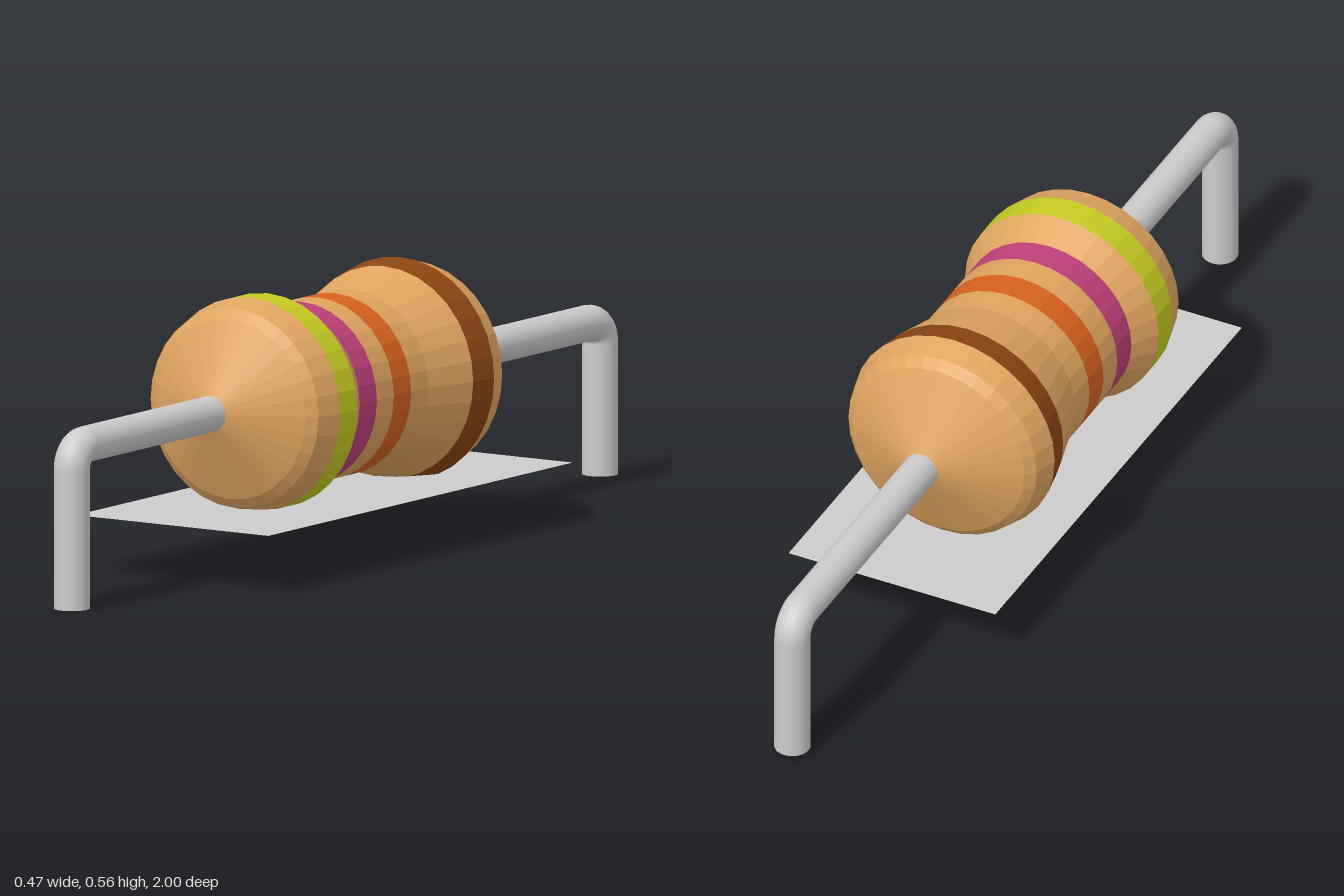
import * as THREE from 'three';

const CX = -0.008, AXIS_Y = 0.331, WIRE_R = 0.037, BEND_R = 0.045, LEG_Z = 0.963;

const grey = () => new THREE.MeshStandardMaterial({ color: 0xcccccc });

function addMesh(parent, name, geometry, material) {
  const mesh = new THREE.Mesh(geometry, material);
  mesh.name = name;
  parent.add(mesh);
  return mesh;
}

// One stretch of the turned body: [z, radius] pairs from back to front
function bodySection(parent, name, profile, color) {
  const points = profile.map(([z, r]) => new THREE.Vector2(r, z));
  const material = new THREE.MeshStandardMaterial({ color, flatShading: true });
  const mesh = addMesh(parent, name, new THREE.LatheGeometry(points, 32), material);
  mesh.rotation.x = Math.PI / 2;
}

// Bent wire: horizontal run, quarter bend, vertical leg; built along +z
function lead(name, innerZ, footY) {
  const group = new THREE.Group();
  group.name = name;
  const bendZ = LEG_Z - BEND_R, bendY = AXIS_Y - BEND_R;

  const run = addMesh(group, name + 'Run',
    new THREE.CylinderGeometry(WIRE_R, WIRE_R, bendZ - innerZ, 24, 1, true), grey());
  run.rotation.x = Math.PI / 2;
  run.position.set(0, AXIS_Y, (bendZ + innerZ) / 2);

  const bend = addMesh(group, name + 'Bend',
    new THREE.TorusGeometry(BEND_R, WIRE_R, 24, 10, Math.PI / 2), grey());
  bend.rotation.y = -Math.PI / 2;
  bend.position.set(0, bendY, bendZ);

  const leg = addMesh(group, name + 'Leg',
    new THREE.CylinderGeometry(WIRE_R, WIRE_R, bendY - footY, 24), grey());
  leg.position.set(0, (bendY + footY) / 2, LEG_Z);
  return group;
}

export function createModel() {
  const model = new THREE.Group();
  model.name = 'resistor';

  // Turned body with its coloured bands
  const body = new THREE.Group();
  body.name = 'body';
  body.position.set(CX, AXIS_Y, 0);
  model.add(body);
  const TAN = 0xe0a560;
  bodySection(body, 'backCap',
    [[-0.385, 0.03], [-0.305, 0.195], [-0.287, 0.214], [-0.235, 0.229]], TAN);
  bodySection(body, 'brownBand', [[-0.235, 0.229], [-0.175, 0.218]], 0x8b4513);
  bodySection(body, 'waistBack',
    [[-0.175, 0.218], [-0.115, 0.202], [-0.058, 0.187], [0.005, 0.187]], TAN);
  bodySection(body, 'orangeBand', [[0.005, 0.187], [0.068, 0.187]], 0xd9621e);
  bodySection(body, 'waistMiddle', [[0.068, 0.187], [0.13, 0.187]], TAN);
  bodySection(body, 'magentaBand', [[0.13, 0.187], [0.193, 0.187]], 0xc0407a);
  bodySection(body, 'waistFront', [[0.193, 0.187], [0.25, 0.22]], TAN);
  bodySection(body, 'yellowBand', [[0.25, 0.22], [0.314, 0.22]], 0xc5cc22);
  bodySection(body, 'frontCap',
    [[0.314, 0.22], [0.37, 0.205], [0.387, 0.185], [0.462, 0.03]], TAN);

  // Wire leads; the back one ends slightly higher
  const frontLead = lead('frontLead', 0.4, 0);
  frontLead.position.x = CX;
  const backLead = lead('backLead', 0.33, 0.015);
  backLead.position.x = CX;
  backLead.rotation.y = Math.PI;
  model.add(frontLead, backLead);

  // Thin sheet just grazing the underside of the body
  const sheetMaterial = grey();
  sheetMaterial.side = THREE.DoubleSide;
  const sheet = addMesh(model, 'baseSheet', new THREE.PlaneGeometry(0.47, 1.11), sheetMaterial);
  sheet.rotation.x = -Math.PI / 2;
  sheet.position.set(-0.003, 0.122, 0.05);

  return model;
}
